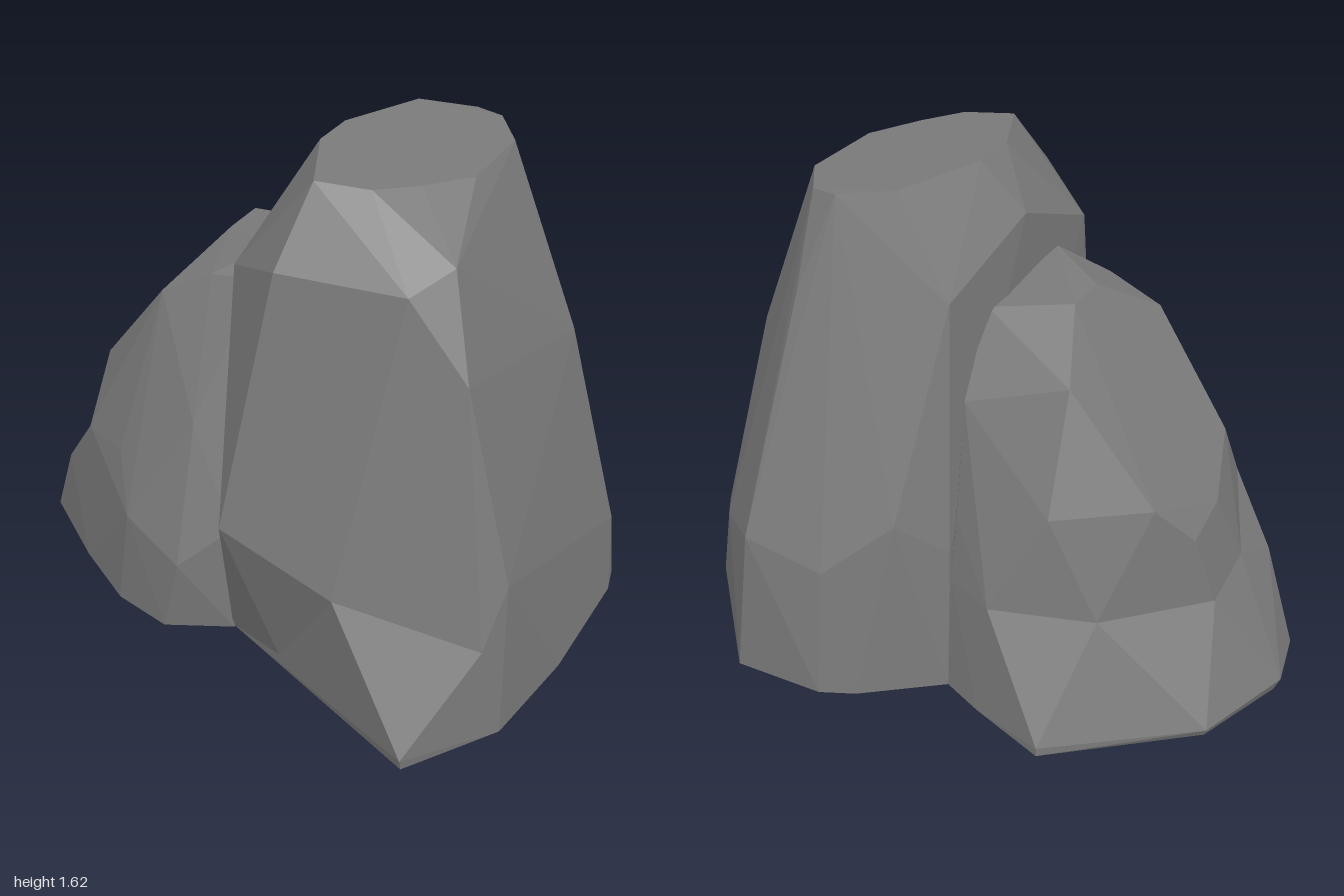
import * as THREE from 'three';
import { ConvexGeometry } from 'three/addons/geometries/ConvexGeometry.js';

const material = new THREE.MeshStandardMaterial({ color: 0x7a7a7a, flatShading: true });

// A faceted boulder: the hull around its corner points [x, y, z]
function boulder(name, corners) {
  const mesh = new THREE.Mesh(
    new ConvexGeometry(corners.map((p) => new THREE.Vector3(...p))), material);
  mesh.name = name;
  return mesh;
}

export function createModel() {
  const group = new THREE.Group();
  group.name = 'rocks';

  group.add(boulder('tallRock', [
    // top facet
    [0.09, 1.62, -0.06], [0.09, 1.62, 0.1], [0.2, 1.61, -0.35], [0.37, 1.59, -0.42],
    [0.46, 1.585, -0.4], [0.56, 1.58, -0.25], [0.56, 1.58, 0.05], [0.46, 1.59, 0.2],
    [0.36, 1.6, 0.31], [0.2, 1.61, 0.35],
    // shoulder
    [-0.03, 1.45, 0.0], [-0.05, 1.3, 0.37], [0.17, 1.4, 0.53], [0.56, 1.4, 0.49],
    [0.64, 1.45, 0.36], [0.74, 1.16, 0.47], [0.46, 1.3, -0.52], [0.02, 1.3, -0.38],
    // waist
    [0.07, 0.6, 0.7], [0.44, 0.46, 0.69], [0.91, 0.56, 0.5], [0.87, 0.35, 0.57],
    [0.8, 1.0, -0.25], [0.97, 0.27, -0.34], [0.78, 0.42, -0.57], [0.55, 0.53, -0.77],
    [0.3, 0.45, -0.73], [0.1, 0.62, -0.61], [-0.05, 0.35, 0.44], [-0.03, 0.5, -0.5],
    // base
    [0.2, 0, 0.55], [-0.04, 0, 0.46], [0.92, 0, 0.5], [0.98, 0, 0.14], [1.0, 0, -0.3],
    [0.98, 0, -0.4], [0.62, 0, -0.79], [0.31, 0, -0.78], [0.2, 0, -0.73], [-0.04, 0, -0.55],
  ]));

  // spur that juts forward at the foot of the tall rock
  group.add(boulder('tallRockSpur', [
    [0.72, 0.04, 0.79], [0.72, 0, 0.78], [0.44, 0.46, 0.69], [0.87, 0.35, 0.57],
    [0.92, 0, 0.5], [-0.04, 0, 0.46], [0.44, 0, 0.3],
  ]));

  // corners where the two halves of the low rock meet
  const waist = [
    [-0.38, 0.38, 0.54], [-0.17, 0.28, 0.58], [-0.66, 0.52, 0.33], [-0.03, 0.4, 0.47],
    [-0.8, 0.39, -0.2], [-0.79, 0.4, 0.05], [-0.53, 0.4, -0.48], [-0.2, 0.39, -0.57],
    [-0.04, 0.4, -0.51],
  ];

  group.add(boulder('lowRockCrown', [
    ...waist,
    // crest
    [-0.25, 1.24, -0.1], [-0.25, 1.24, 0.05], [-0.05, 1.27, 0.18], [0.0, 1.21, -0.19],
    [-0.2, 1.18, 0.26], [-0.04, 1.2, 0.26],
    // sloping facet
    [-0.37, 1.09, 0.28], [-0.35, 1.09, -0.33], [-0.64, 0.76, -0.34], [-0.65, 0.75, 0.2],
    [-0.73, 0.65, -0.05], [-0.74, 0.63, -0.25],
    // sides
    [-0.46, 0.55, 0.44], [-0.16, 0.76, 0.46], [-0.03, 0.99, -0.39], [-0.36, 0.72, -0.48],
    [-0.04, 0.62, -0.47],
  ]));

  group.add(boulder('lowRockFoot', [
    ...waist,
    [-0.82, 0.3, 0.25], [-1.0, 0.05, -0.07],
    // base
    [-0.98, 0, -0.07], [-0.95, 0, 0.18], [-0.68, 0, 0.38], [-0.45, 0, 0.52],
    [-0.24, 0, 0.57], [-0.03, 0, 0.47], [-0.87, 0.03, -0.38], [-0.86, 0, -0.37],
    [-0.44, 0.03, -0.7], [-0.44, 0, -0.7], [-0.18, 0, -0.61], [-0.04, 0, -0.55],
  ]));

  return group;
}
